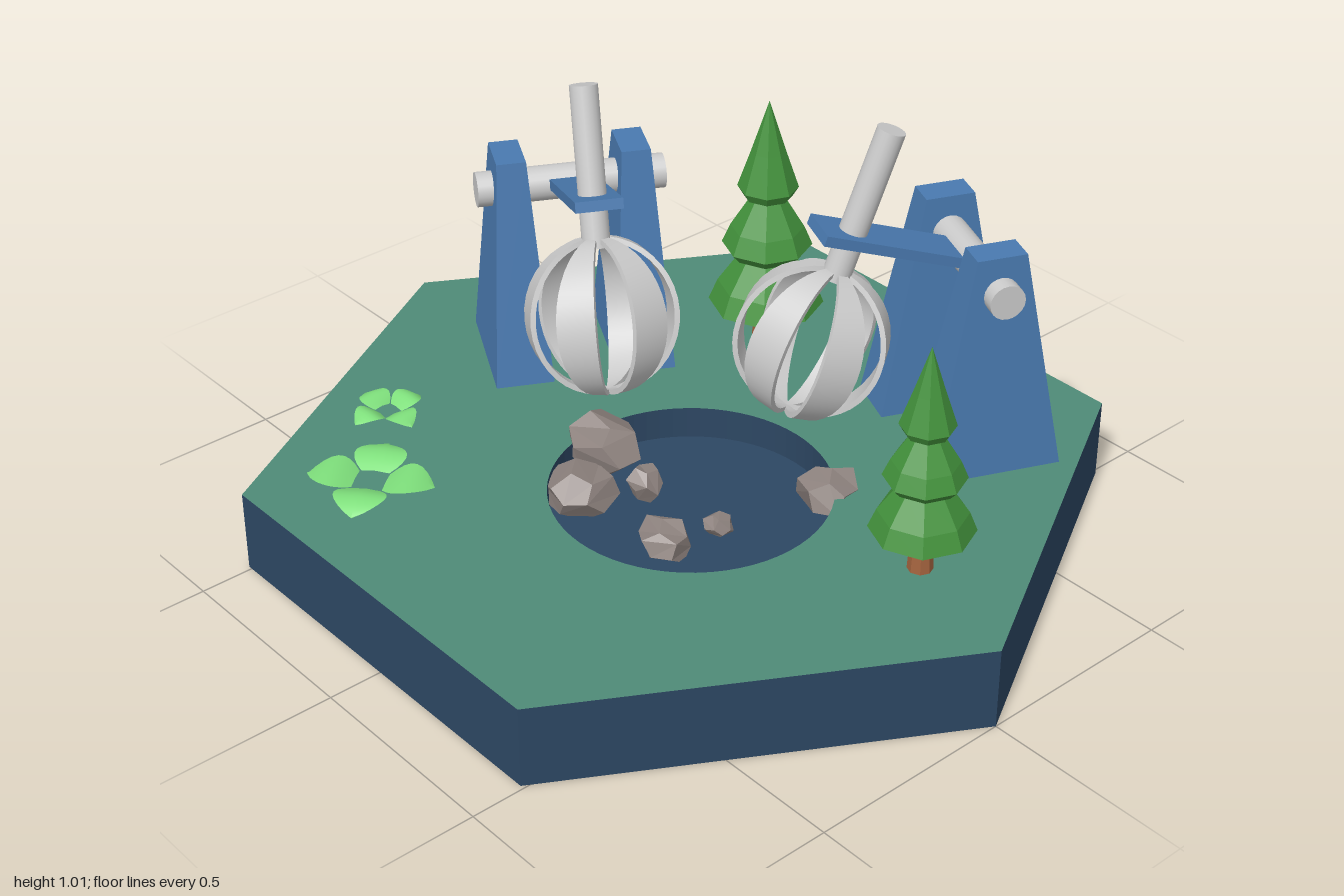
import * as THREE from 'three';

const mat = (color, extra = {}) => new THREE.MeshStandardMaterial({ color, ...extra });
const GREY = mat(0xcccccc);
const BLUE = mat(0x4a7ab0);
const NAVY = mat(0x2d4763);
const GRASS = mat(0x4f8b78);
const PINE = mat(0x43923c, { flatShading: true });
const BARK = mat(0xa5643f, { flatShading: true });
const ROCK = mat(0x8d827e, { flatShading: true });
const LEAF = mat(0x7fe07c, { side: THREE.DoubleSide });

const GROUND = 0.2, PIT = 0.12;

function add(parent, name, geometry, material, x = 0, y = 0, z = 0) {
  const mesh = new THREE.Mesh(geometry, material);
  mesh.name = name;
  mesh.position.set(x, y, z);
  parent.add(mesh);
  return mesh;
}

// Moves every vertex of a geometry by a rule
function warp(geometry, rule) {
  const p = geometry.attributes.position, v = new THREE.Vector3();
  for (let i = 0; i < p.count; i++) {
    v.fromBufferAttribute(p, i);
    rule(v);
    p.setXYZ(i, v.x, v.y, v.z);
  }
  geometry.computeVertexNormals();
  return geometry;
}

// Hexagonal slab, optionally with the round pit cut through it
function hexSlab(depth, withPit) {
  const shape = new THREE.Shape([[1, 0], [0.51, 0.87], [-0.49, 0.87], [-1, 0], [-0.51, -0.87], [0.49, -0.87]]
    .map(([x, y]) => new THREE.Vector2(x, y)));
  if (withPit) shape.holes.push(new THREE.Path().absarc(0.13, -0.09, 0.325, 0, Math.PI * 2, true));
  return new THREE.ExtrudeGeometry(shape, { depth, bevelEnabled: false, curveSegments: 32 }).rotateX(-Math.PI / 2);
}

// Curved claw blade: widest at the middle, pointed at both ends
function bladeGeometry() {
  return warp(new THREE.BoxGeometry(1, 1, 1, 1, 20, 1), v => {
    const t = (0.5 - v.y) * Math.PI;
    const width = 0.008 + 0.085 * Math.sin(t);
    const r = 0.166 + v.z * 0.012;
    v.set(v.x * width, (r + 0.012) * Math.cos(t), r * Math.sin(t));
  });
}

// Two towers, an axle, and a tilted arm that carries a claw; faces local +z
function clawRig(x, z, forwardX, forwardZ) {
  const rig = new THREE.Group();
  rig.name = 'clawRig';
  rig.position.set(x, 0, z);
  rig.rotation.y = Math.atan2(forwardX, forwardZ);

  const height = 0.545;
  for (const side of [-1, 1]) {
    const tower = warp(new THREE.BoxGeometry(0.14, height, 0.32), v => {
      if (v.y > 0) { v.x *= 0.5; v.z *= 0.37; }
    });
    add(rig, 'tower', tower, BLUE, side * 0.148, GROUND + height / 2, 0);
  }
  add(rig, 'axle', new THREE.CylinderGeometry(0.042, 0.042, 0.45, 20).rotateZ(Math.PI / 2), GREY, 0, 0.655, 0);

  const arm = new THREE.Group();
  arm.name = 'arm';
  arm.position.y = 0.655;
  arm.rotation.x = -0.33;
  rig.add(arm);
  add(arm, 'armPlate', new THREE.BoxGeometry(0.11, 0.025, 0.37), BLUE, 0, 0, 0.2);
  add(arm, 'piston', new THREE.CylinderGeometry(0.033, 0.033, 0.37, 20), GREY, 0, 0.077, 0.3);

  const claw = new THREE.Group();
  claw.name = 'claw';
  claw.position.set(0, -0.267, 0.3);
  arm.add(claw);
  const blade = bladeGeometry();
  for (let i = 0; i < 6; i++) {
    add(claw, 'clawBlade', blade, GREY).rotation.y = (i + 0.5) * Math.PI / 3;
  }
  return rig;
}

// Conifer with three flared tiers
function pineTree(x, z, scale) {
  const tree = new THREE.Group();
  tree.name = 'pineTree';
  tree.position.set(x, GROUND, z);
  tree.scale.setScalar(scale);
  add(tree, 'trunk', new THREE.CylinderGeometry(0.021, 0.029, 0.14, 8), BARK, 0, 0.07, 0);
  const profile = [[0, 0.11], [0.08, 0.085], [0.118, 0.105], [0.1, 0.15], [0.055, 0.215], [0.075, 0.22],
    [0.092, 0.24], [0.075, 0.28], [0.035, 0.345], [0.05, 0.35], [0.062, 0.37], [0.035, 0.45], [0, 0.56]];
  add(tree, 'foliage', new THREE.LatheGeometry(profile.map(p => new THREE.Vector2(...p)), 8), PINE);
  return tree;
}

// Low plant with four arched, pointed leaves around a small open middle
function plant(x, z, radius, turn) {
  const group = new THREE.Group();
  group.name = 'leafyPlant';
  group.position.set(x, GROUND + 0.003, z);
  group.rotation.y = turn;
  const leaf = warp(new THREE.PlaneGeometry(1, 1, 2, 8).rotateX(-Math.PI / 2), v => {
    const t = v.z + 0.5;
    const width = radius * 0.82 * Math.pow(Math.sin(Math.PI * (0.16 + 0.84 * t)), 0.85);
    v.set(v.x * width, 0.018 * Math.sin(Math.PI * t) - Math.abs(v.x) * 0.006, radius * (0.24 + 0.76 * t));
  });
  for (let i = 0; i < 4; i++) add(group, 'leaf', leaf, LEAF).rotation.y = i * Math.PI / 2;
  return group;
}

export function createModel() {
  const model = new THREE.Group();
  model.name = 'clawArena';

  // Base with a sunken round pit
  add(model, 'baseSlab', hexSlab(PIT, false), NAVY);
  add(model, 'groundWithPit', hexSlab(GROUND - PIT, true), [GRASS, NAVY], 0, PIT, 0);

  model.add(clawRig(-0.52, -0.1, 0.88, 0.475));
  model.add(clawRig(0.345, -0.55, -0.4, 0.917));

  model.add(pineTree(-0.215, -0.455, 1.18));
  model.add(pineTree(0.685, -0.08, 1));

  model.add(plant(-0.575, 0.42, 0.095, 0));
  model.add(plant(-0.365, 0.62, 0.15, 0.66));

  // Rocks in and around the pit: x, y, z, width, height, depth
  const rocks = [
    [-0.125, 0.205, 0.14, 0.1, 0.075, 0.08],
    [-0.07, 0.165, 0.25, 0.08, 0.06, 0.09],
    [0.015, 0.17, 0.13, 0.045, 0.05, 0.045],
    [0.33, 0.185, -0.15, 0.075, 0.065, 0.07],
    [0.185, 0.145, 0.215, 0.07, 0.05, 0.06],
    [0.215, 0.135, 0.08, 0.038, 0.03, 0.035],
  ];
  rocks.forEach(([x, y, z, w, h, d], i) => {
    const rock = warp(new THREE.DodecahedronGeometry(1, 0), v => {
      v.multiplyScalar(1 + 0.12 * Math.sin(v.x * 5 + v.y * 3 + v.z * 7 + i * 2));
    }).rotateY(i * 1.3).rotateX(i * 0.7).scale(w, h, d);
    add(model, 'rock', rock, ROCK, x, y, z);
  });

  return model;
}
